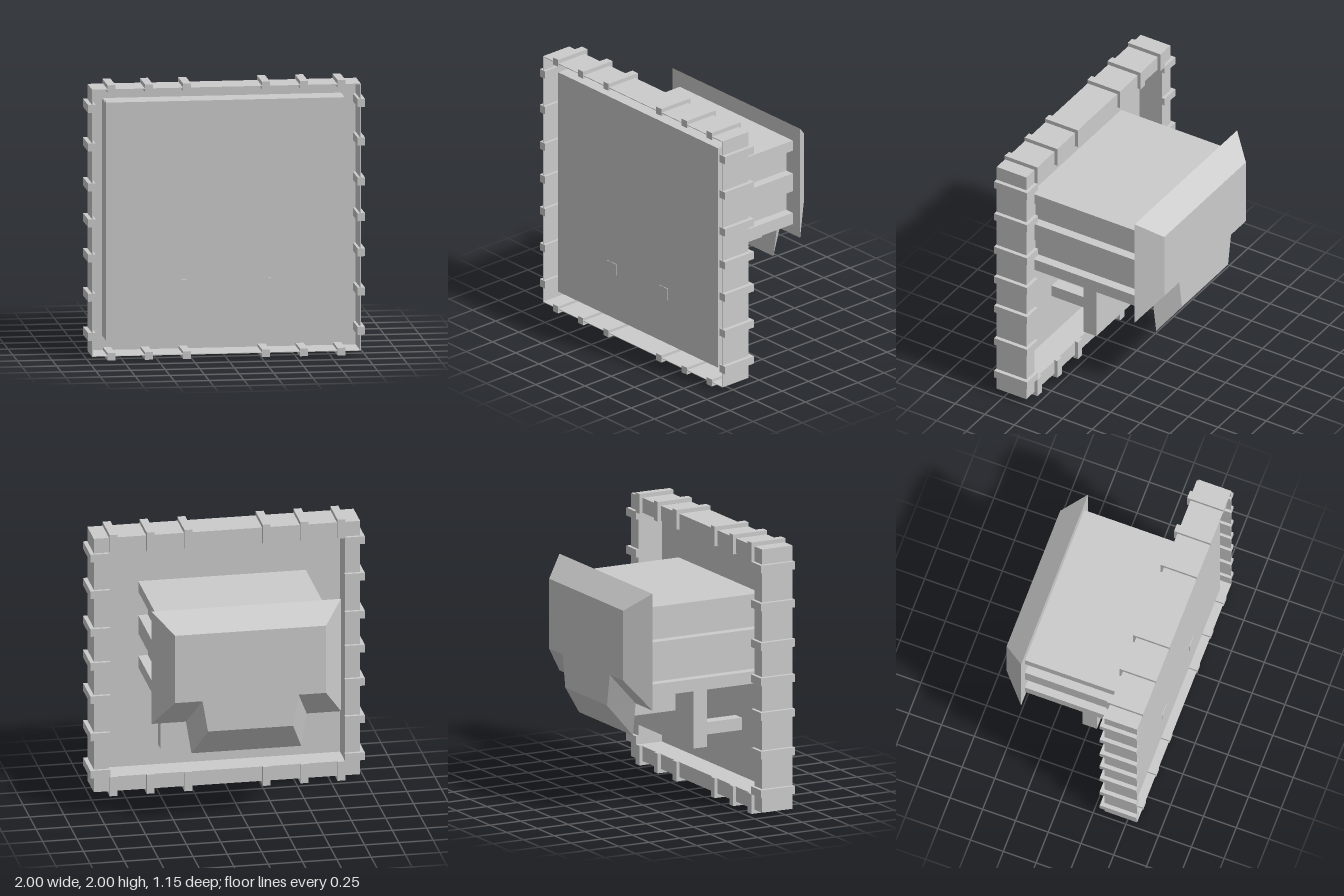
import * as THREE from 'three';

const material = new THREE.MeshStandardMaterial({ color: 0xcccccc, flatShading: true, side: THREE.DoubleSide });

// Box given by its lower and upper limits on each axis
function box(parent, name, [x0, x1], [y0, y1], [z0, z1]) {
  const mesh = new THREE.Mesh(new THREE.BoxGeometry(x1 - x0, y1 - y0, z1 - z0), material);
  mesh.position.set((x0 + x1) / 2, (y0 + y1) / 2, (z0 + z1) / 2);
  mesh.name = name;
  parent.add(mesh);
  return mesh;
}

// Solid between two matching outlines at two depths
function loft(name, near, zNear, far, zFar) {
  const n = near.length;
  const positions = [];
  const index = [];
  const quad = (a, b, c, d) => index.push(a, b, c, a, c, d);
  for (const [x, y] of near) positions.push(x, y, zNear);
  for (const [x, y] of far) positions.push(x, y, zFar);
  for (let i = 0; i < n; i++) {
    const j = (i + 1) % n;
    quad(i, i + n, j + n, j);
  }
  const caps = THREE.ShapeUtils.triangulateShape(near.map(p => new THREE.Vector2(...p)), []);
  for (const [a, b, c] of caps) {
    index.push(a, b, c);
    index.push(a + n, c + n, b + n);
  }
  const indexed = new THREE.BufferGeometry();
  indexed.setAttribute('position', new THREE.Float32BufferAttribute(positions, 3));
  indexed.setIndex(index);
  const geometry = indexed.toNonIndexed();
  geometry.computeVertexNormals();
  const mesh = new THREE.Mesh(geometry, material);
  mesh.name = name;
  return mesh;
}

// Right half of a T outline, mirrored; counter-clockwise seen from the front
function mirrored(half) {
  return [...half, ...half.map(([x, y]) => [-x, y]).reverse()];
}

export function createModel() {
  const model = new THREE.Group();
  model.name = 'wallDisplay';

  // Hollow frame, open at the front: four equal sides turned around the centre
  const frame = new THREE.Group();
  frame.name = 'frame';
  frame.position.y = 1;
  model.add(frame);
  const sideClamps = [-0.825, -0.54, -0.255, 0, 0.26, 0.55, 0.83];
  const endClamps = [-0.83, -0.56, -0.285, 0.285, 0.56, 0.83];
  for (let i = 0; i < 4; i++) {
    const side = new THREE.Group();
    side.name = 'frameSide';
    side.rotation.z = i * Math.PI / 2;
    frame.add(side);
    box(side, 'outerWall', [-0.97, 0.97], [0.965, 0.97], [0.33, 0.575]);
    box(side, 'backWall', [-0.97, 0.97], [0.86, 0.97], [0.325, 0.33]);
    box(side, 'innerWall', [-0.86, 0.86], [0.86, 0.865], [0.33, 0.515]);

    // Bands that wrap the outside and the back of the frame
    const places = i % 2 ? sideClamps : endClamps;
    for (const p of places) {
      const c = i === 3 ? -p : p;
      box(side, 'outerBand', [c - 0.029, c + 0.029], [0.945, 1], [0.3, 0.578]);
      box(side, 'backBand', [c - 0.029, c + 0.029], [0.855, 1], [0.3, 0.33]);
    }
  }
  box(model, 'panel', [-0.865, 0.865], [0.135, 1.865], [0.515, 0.525]);

  // Ribbed housing behind the panel
  const housing = new THREE.Group();
  housing.name = 'housing';
  model.add(housing);
  box(housing, 'core', [-0.54, 0.54], [0.9, 1.54], [-0.415, 0.52]);
  for (const y of [[0.89, 0.98], [1.15, 1.29], [1.47, 1.55]]) {
    box(housing, 'rib', [-0.61, 0.61], y, [-0.415, 0.52]);
  }

  // Support plate, its struts to the panel and the neck under the housing
  box(model, 'supportPlate', [-0.545, 0.545], [0.45, 0.9], [0, 0.11]);
  for (const x of [-0.28, 0.28]) {
    box(model, 'strut', [x - 0.047, x + 0.047], [0.48, 0.57], [0.11, 0.53]);
  }
  box(model, 'neck', [-0.28, 0.28], [0.675, 0.9], [-0.415, 0]);

  // Bevelled back cover with a lower tongue
  const wide = mirrored([[0.4, 0.565], [0.44, 0.81], [0.69, 0.81], [0.69, 1.67]]);
  const narrow = mirrored([[0.31, 0.785], [0.35, 1.02], [0.55, 1.02], [0.55, 1.535]]);
  model.add(loft('backCover', wide, -0.415, narrow, -0.577));

  return model;
}
